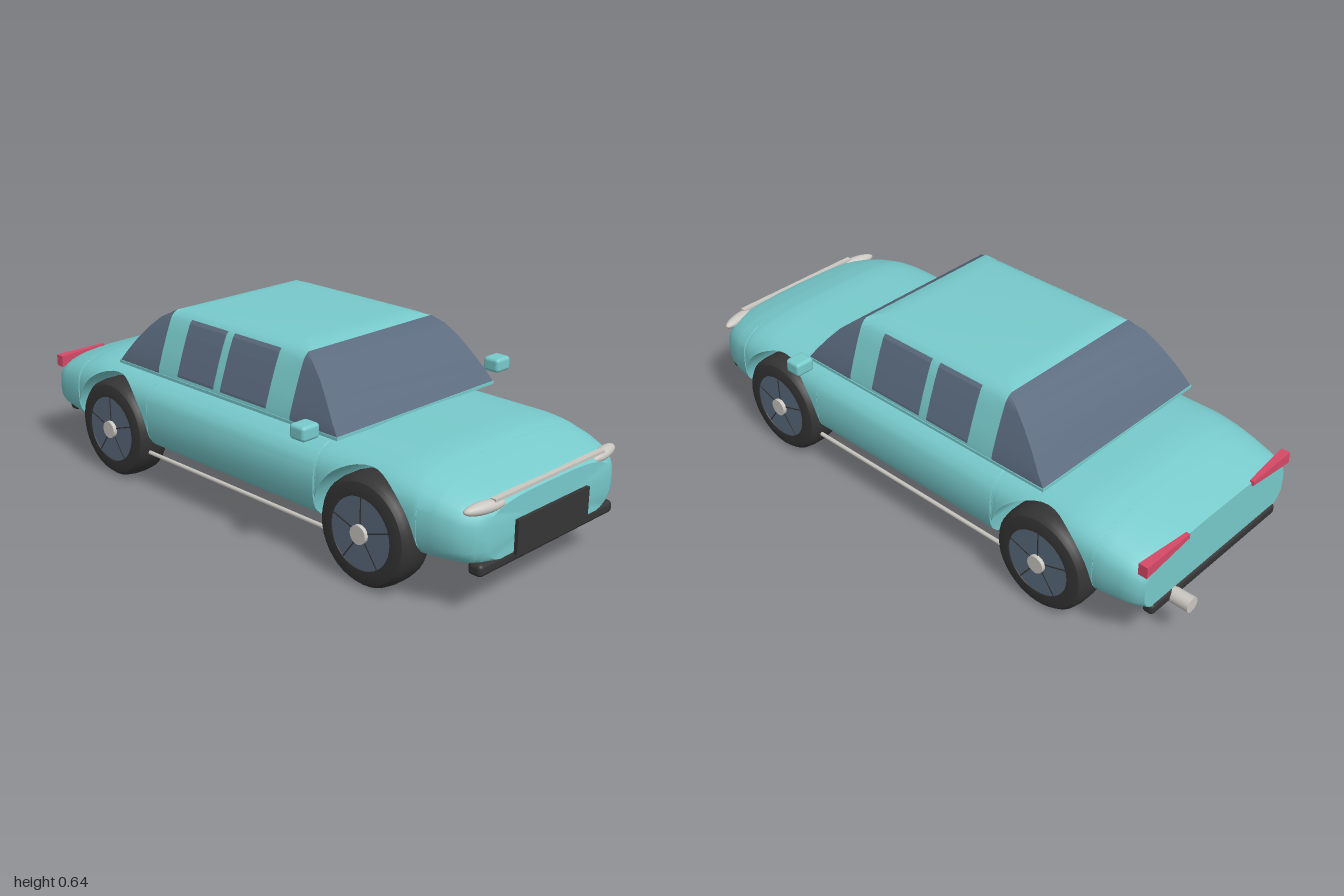
import * as THREE from 'three';
import { toCreasedNormals } from 'three/addons/utils/BufferGeometryUtils.js';
import { RoundedBoxGeometry } from 'three/addons/geometries/RoundedBoxGeometry.js';

const material = (name, color) => Object.assign(new THREE.MeshStandardMaterial({ color }), { name });

// Linear lookup in a table of [key, value] pairs
function lookup(table, k) {
  if (k <= table[0][0]) return table[0][1];
  for (let i = 1; i < table.length; i++) {
    const [a, va] = table[i - 1], [b, vb] = table[i];
    if (k <= b) return va + (vb - va) * (k - a) / (b - a);
  }
  return table[table.length - 1][1];
}

// Closed skin over cross-sections {x, pts: [[z, y]...]} ordered along +x, with end caps
function loft(sections, crease = 0.6) {
  const n = sections[0].pts.length, pos = [], idx = [];
  for (const { x, pts } of sections) for (const [z, y] of pts) pos.push(x, y, z);
  for (let i = 0; i < sections.length - 1; i++) {
    for (let j = 0; j < n; j++) {
      const a = i * n + j, b = i * n + (j + 1) % n;
      idx.push(a, a + n, b + n, a, b + n, b);
    }
  }
  for (const end of [0, sections.length - 1]) {
    const { x, pts } = sections[end], c = pos.length / 3, o = end * n;
    pos.push(x, pts.reduce((s, p) => s + p[1], 0) / n, 0);
    for (let j = 0; j < n; j++) {
      const a = o + j, b = o + (j + 1) % n;
      idx.push(c, ...(end ? [b, a] : [a, b]));
    }
  }
  const g = new THREE.BufferGeometry();
  g.setAttribute('position', new THREE.Float32BufferAttribute(pos, 3));
  g.setIndex(idx);
  return toCreasedNormals(g, crease);
}

// Mirror a half outline (z >= 0, bottom to top) into a closed loop
const mirrored = half => [...half, ...half.slice().reverse().map(([z, y]) => [-z, y])];

const WHEEL_X = [-0.57, 0.615], WHEEL_Y = 0.173, WHEEL_R = 0.173, ARCH_R = 0.198;

// Lower body outlines along its length
const bodyTop = [[-0.93, 0.345], [-0.86, 0.369], [-0.78, 0.394], [-0.72, 0.408], [-0.66, 0.415],
  [0.72, 0.415], [0.78, 0.409], [0.86, 0.39], [0.93, 0.367], [0.97, 0.352], [0.988, 0.338]];
const bodyBottom = [[-0.93, 0.14], [-0.77, 0.12], [-0.37, 0.112], [0.42, 0.112], [0.81, 0.122], [0.97, 0.137], [0.988, 0.15]];
const bodyWidth = [[-0.93, 0.355], [-0.915, 0.367], [-0.88, 0.38], [-0.8, 0.392], [-0.65, 0.4], [0.7, 0.4],
  [0.8, 0.394], [0.87, 0.383], [0.92, 0.368], [0.95, 0.352], [0.975, 0.325], [0.988, 0.295]];

// Rounded body section, cut off below "cut" to open the wheel arches
function bodySection(x, cut = 0) {
  const top = lookup(bodyTop, x), bottom = lookup(bodyBottom, x), w = lookup(bodyWidth, x);
  const power = 3.4, mid = bottom + (top - bottom) * 0.5, h = (top - bottom) / 2;
  const s = Math.max(-1, (cut - mid) / h);
  const start = Math.asin(Math.sign(s) * Math.abs(s) ** (power / 2));
  const half = [];
  for (let j = 0; j <= 18; j++) {
    const a = start + (Math.PI / 2 - start) * j / 18, sn = Math.sin(a);
    half.push([w * Math.max(0, Math.cos(a)) ** (2 / power),
      mid + h * Math.sign(sn) * Math.abs(sn) ** (2 / power)]);
  }
  return { x, pts: mirrored(half) };
}

function bodyGeometry() {
  const stations = [];
  const plain = (a, b) => {
    const xs = new Set([...bodyTop, ...bodyWidth, ...bodyBottom].map(p => p[0]).filter(x => x > a && x < b));
    [a, ...[...xs].sort((p, q) => p - q), b].forEach(x => stations.push(bodySection(x)));
  };
  let from = -0.93;
  for (const c of WHEEL_X) {
    plain(from, c - ARCH_R);
    for (let k = 0; k <= 24; k++) {
      const a = Math.PI * (1 - k / 24);
      stations.push(bodySection(c + ARCH_R * Math.cos(a), WHEEL_Y + ARCH_R * Math.sin(a)));
    }
    from = c + ARCH_R;
  }
  plain(from, 0.988);
  return loft(stations);
}

// Cabin: roof line along x, half width by height
const BASE = 0.415;
const roofLine = [[-0.55, 0.42], [-0.52, 0.46], [-0.485, 0.505], [-0.44, 0.553], [-0.395, 0.593], [-0.345, 0.622],
  [-0.31, 0.633], [-0.28, 0.636], [0.2, 0.636], [0.24, 0.632], [0.28, 0.62], [0.32, 0.597], [0.365, 0.56],
  [0.41, 0.51], [0.45, 0.46], [0.48, 0.42]];
const cabinWidth = [[0.415, 0.363], [0.44, 0.36], [0.5, 0.34], [0.56, 0.318], [0.6, 0.301], [0.615, 0.288],
  [0.625, 0.268], [0.631, 0.24], [0.636, 0.2]];

function cabinPart(a, b) {
  const xs = [a, ...roofLine.map(p => p[0]).filter(x => x > a && x < b), b];
  return loft(xs.map(x => {
    const h = lookup(roofLine, x);
    return { x, pts: mirrored(cabinWidth.map(([y]) => {
      const yy = BASE + (h - BASE) * (y - BASE) / (0.636 - BASE);
      return [lookup(cabinWidth, yy), yy];
    })) };
  }), 0.5);
}

// Thin side pane following the cabin's slope
function sidePane(x0, x1) {
  const heights = [0.432, 0.44, 0.5, 0.56, 0.6, 0.61];
  const at = y => lookup(cabinWidth, y);
  const outline = [...heights.map(y => [at(y) + 0.003, y]),
    ...heights.slice().reverse().map(y => [at(y) - 0.003, y])];
  const shape = new THREE.Shape(outline.map(([z, y]) => new THREE.Vector2(-z, y)));
  const g = new THREE.ExtrudeGeometry(shape, { depth: x1 - x0, bevelEnabled: false });
  return g.rotateY(Math.PI / 2).translate(x0, 0, 0).scale(1, 1, 1);
}

export function createModel() {
  const paint = material('teal paint', 0x78cacc);
  const glass = material('slate glass', 0x5b6b7e);
  const rubber = material('black rubber', 0x353535);
  const chrome = material('pale chrome', 0xcac7c1);
  const red = material('tail light red', 0xd64a68);

  const car = new THREE.Group();
  car.name = 'car';
  const add = (name, geometry, mat, x = 0, y = 0, z = 0, parent = car) => {
    const m = new THREE.Mesh(geometry, mat);
    m.name = name;
    m.position.set(x, y, z);
    parent.add(m);
    return m;
  };

  // Shell
  add('lowerBody', bodyGeometry(), paint);
  add('roof', cabinPart(-0.345, 0.28), paint);
  add('rearWindow', cabinPart(-0.55, -0.345), glass);
  add('windshield', cabinPart(0.28, 0.48), glass);
  add('cabinBase', new THREE.BoxGeometry(1.034, 0.01, 0.73), paint, -0.035, 0.416, 0);

  // Wheel pieces, axle along z with the outer face at +z
  const tyre = new THREE.LatheGeometry([[0, -0.0625], [0.14, -0.0625], [0.158, -0.058], [0.169, -0.045],
    [WHEEL_R, -0.02], [WHEEL_R, 0.02], [0.169, 0.045], [0.158, 0.058], [0.14, 0.0625], [0.115, 0.0625], [0.112, 0.05], [0, 0.05]]
    .map(([r, y]) => new THREE.Vector2(r, y)), 40).rotateX(Math.PI / 2);
  const tyreGeometry = toCreasedNormals(tyre, 0.6);
  const rimGeometry = new THREE.CylinderGeometry(0.114, 0.114, 0.02, 40).rotateX(Math.PI / 2);
  const capGeometry = new THREE.CylinderGeometry(0.03, 0.03, 0.03, 20).rotateX(Math.PI / 2);
  const grooveGeometry = new THREE.BoxGeometry(0.004, 0.085, 0.004).translate(0, 0.071, 0);

  for (const side of [1, -1]) {
    const label = side > 0 ? 'Near' : 'Far';
    WHEEL_X.forEach((x, i) => {
      const wheel = new THREE.Group();
      wheel.name = (i ? 'front' : 'rear') + 'Wheel' + label;
      wheel.position.set(x, WHEEL_Y, side * 0.3425);
      if (side < 0) wheel.rotation.y = Math.PI;
      add('tyre', tyreGeometry, rubber, 0, 0, 0, wheel);
      add('rim', rimGeometry, glass, 0, 0, 0.05, wheel);
      add('hubCap', capGeometry, chrome, 0, 0, 0.058, wheel);
      for (let k = 0; k < 5; k++)
        add('rimGroove', grooveGeometry, rubber, 0, 0, 0.0595, wheel).rotation.z = k * Math.PI * 0.4;
      car.add(wheel);
    });

    // Side panes, mirror and sill trim
    for (const [x0, x1] of [[-0.245, -0.07], [-0.035, 0.175]]) {
      const pane = add('sideWindow' + label, sidePane(x0, x1), glass);
      if (side < 0) {
        pane.rotation.y = Math.PI;
        pane.position.x = x0 + x1;
      }
    }
    add('mirror' + label, new RoundedBoxGeometry(0.062, 0.048, 0.07, 3, 0.012), paint, 0.43, 0.452, side * 0.445);
    add('sillTrim' + label, new THREE.CylinderGeometry(0.007, 0.007, 0.83, 10).rotateZ(Math.PI / 2),
      chrome, 0.022, 0.128, side * 0.375);

    // Headlight wrapped around the nose corner
    const lamp = add('headlight' + label, new THREE.SphereGeometry(1, 24, 16), chrome, 0.965, 0.331, side * 0.283);
    lamp.scale.set(0.022, 0.019, 0.074);
    lamp.rotation.y = -side * 0.2;

    // Tail light: wedge growing towards the outer corner
    const wedge = new THREE.BoxGeometry(0.032, 0.04, 0.2), p = wedge.attributes.position;
    for (let k = 0; k < p.count; k++) {
      if (p.getZ(k) * side > 0) continue;
      if (p.getY(k) < 0) p.setY(k, 0.004);
      if (p.getX(k) > 0) p.setX(k, -0.002);
    }
    wedge.computeVertexNormals();
    add('tailLight' + label, wedge, red, -0.921, 0.33, side * 0.262);
  }

  // Nose and tail details
  add('noseTrim', new THREE.BoxGeometry(0.02, 0.009, 0.52), chrome, 0.975, 0.348, 0);
  add('grille', new THREE.BoxGeometry(0.02, 0.107, 0.342), rubber, 0.99, 0.2125, 0);
  add('frontBumper', new RoundedBoxGeometry(0.05, 0.04, 0.64, 3, 0.014), rubber, 0.965, 0.153, 0);
  add('rearBumper', new RoundedBoxGeometry(0.04, 0.04, 0.64, 3, 0.014), rubber, -0.917, 0.153, 0);
  add('exhaustPipe', new THREE.CylinderGeometry(0.026, 0.026, 0.1, 20).rotateZ(Math.PI / 2), chrome, -0.95, 0.146, -0.21);
  return car;
}
